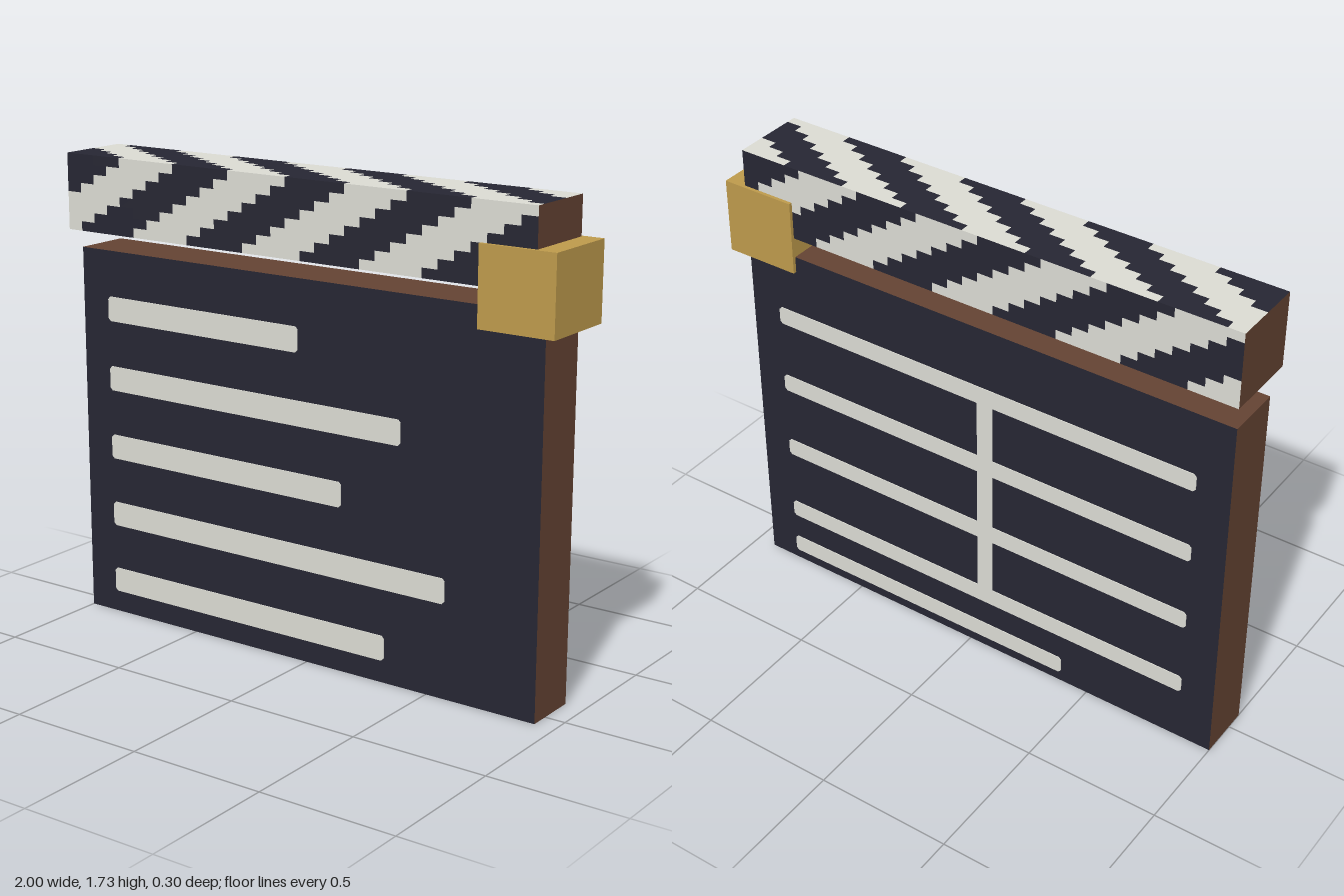
import * as THREE from 'three';

const material = (name, color) => {
  const m = new THREE.MeshStandardMaterial({ color });
  m.name = name;
  return m;
};

export function createModel() {
  const slate = material('slate', 0x262632);
  const chalk = material('chalk', 0xdadad2);
  const wood = material('wood', 0x634232);
  const brass = material('brass', 0xbc994b);
  const group = new THREE.Group();
  group.name = 'clapperboard';

  // Mesh placed in the box between two opposite corners
  function add(name, geometry, mat, [x, y, z], parent = group) {
    const mesh = new THREE.Mesh(geometry, mat);
    mesh.name = name;
    mesh.position.set(x, y, z);
    parent.add(mesh);
    return mesh;
  }

  // Board: wooden edges, dark front and back
  const W = 1.925, midX = -0.0375, frontZ = 0.07, backZ = -0.137;
  add('board', new THREE.BoxGeometry(W, 1.375, frontZ - backZ),
    [wood, wood, wood, wood, slate, slate], [midX, 0.6875, (frontZ + backZ) / 2]);

  // Thin chalk line with clipped corners
  function chalkLine(name, x0, x1, y0, y1, z) {
    const c = 0.01;
    const shape = new THREE.Shape([
      [x0 + c, y0], [x1 - c, y0], [x1, y0 + c], [x1, y1 - c],
      [x1 - c, y1], [x0 + c, y1], [x0, y1 - c], [x0, y0 + c],
    ].map(([x, y]) => new THREE.Vector2(x, y)));
    const geometry = new THREE.ExtrudeGeometry(shape, { depth: 0.004, bevelEnabled: false });
    add(name, geometry, chalk, [0, 0, z]);
  }

  // Front: five lines of different length
  [0.328, 0.569, 0.147, 0.387, -0.035].forEach((end, i) => {
    const y = 0.08 + i * 0.259;
    chalkLine('frontLine', -0.883, end, y, y + 0.091, frontZ - 0.001);
  });

  // Back: four long lines, one short line and a divider
  const rear = backZ - 0.003;
  for (let i = 0; i < 4; i++) {
    const y = 0.208 + i * 0.289;
    chalkLine('backLine', -0.875, 0.808, y, y + 0.068, rear);
  }
  chalkLine('backShortLine', -0.392, 0.808, 0.038, 0.106, rear);
  chalkLine('backDivider', -0.096, -0.034, 0.22, 1.13, rear);

  // Clapstick: cells of each long face sorted into stepped diagonal stripes
  const cols = 32, rows = 8, H = 0.275;
  const stick = new THREE.BoxGeometry(W, H, H, cols, rows, rows);
  const pos = stick.attributes.position, nor = stick.attributes.normal;
  const old = stick.index.array;
  const lists = [[], [], []]; // slate, chalk, wood
  for (let i = 0; i < old.length; i += 6) {
    const quad = Array.from(old.slice(i, i + 6));
    const mean = (axis) => quad.reduce((s, v) => s + pos[axis](v), 0) / 6;
    const nx = nor.getX(quad[0]), ny = nor.getY(quad[0]), nz = nor.getZ(quad[0]);
    let slot = 2;
    if (Math.abs(nx) < 0.5) {
      let col = Math.floor((mean('getX') / W + 0.5) * cols);
      if (nz < -0.5) col = cols - 1 - col;
      const across = ny > 0.5 ? mean('getZ') : ny < -0.5 ? -mean('getZ') : mean('getY');
      const row = Math.floor((across / H + 0.5) * rows);
      slot = (col - row + 15) % 8 < 4 ? 0 : 1;
    }
    lists[slot].push(...quad);
  }
  stick.setIndex(lists.flat());
  stick.clearGroups();
  let start = 0;
  lists.forEach((list, slot) => {
    stick.addGroup(start, list.length, slot);
    start += list.length;
  });
  add('clapstick', stick, [slate, chalk, wood], [midX, 1.5875, 0]);

  // Hinge block joining board and stick
  add('hinge', new THREE.BoxGeometry(0.278, 0.274, 0.3), brass, [0.861, 1.452, 0]);

  return group;
}
